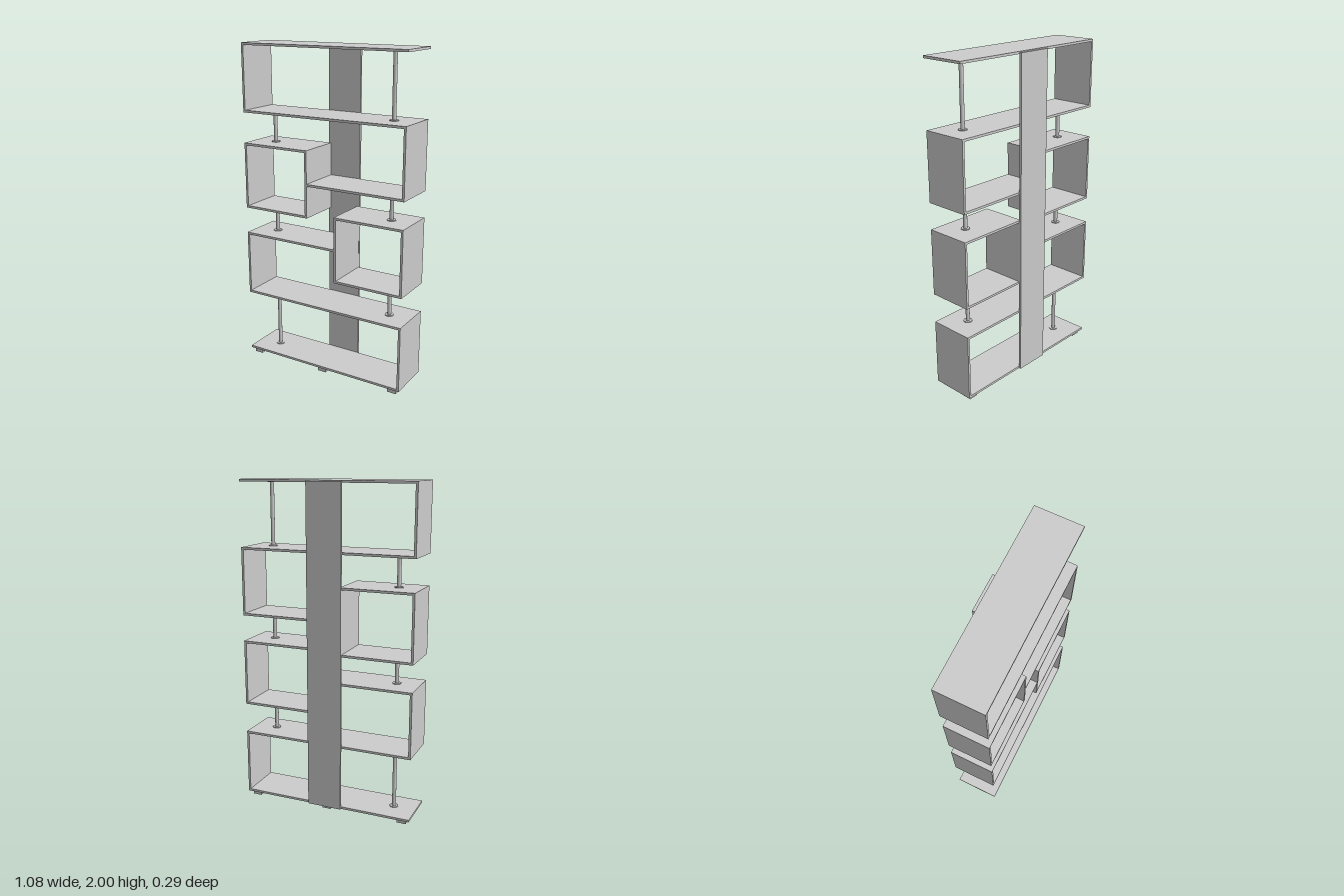
import * as THREE from 'three';

export function createModel() {
  const group = new THREE.Group();
  const mat = new THREE.MeshStandardMaterial({ color: 0xcccccc });
  const T = 0.014;                 // board thickness
  const W = 0.542;                 // half width
  const BACK = -0.131, FRONT = 0.146;
  const MID = (BACK + FRONT) / 2;

  function add(name, geometry, x = 0, y = 0, z = 0) {
    const mesh = new THREE.Mesh(geometry, mat);
    mesh.name = name;
    mesh.position.set(x, y, z);
    group.add(mesh);
    return mesh;
  }

  // Box given by its minimum and maximum corners
  function board(name, x0, x1, y0, y1, z0 = BACK, z1 = FRONT) {
    add(name, new THREE.BoxGeometry(x1 - x0, y1 - y0, z1 - z0),
      (x0 + x1) / 2, (y0 + y1) / 2, (z0 + z1) / 2);
  }

  // Shelves: left end, right end, top height
  const IN = 0.093;
  const shelves = [
    [-W, W, 0.04], [-W, W, 0.438], [-W, IN, 0.832], [IN, W, 0.635], [IN, W, 1.03],
    [-W, -IN, 1.008], [-W, -IN, 1.404], [-IN, W, 1.204], [-W, W, 1.604], [-W, W, 2],
  ];
  for (const [x0, x1, top] of shelves) board('shelf', x0, x1, top - T, top);

  // Upright panels: left edge, bottom, top
  const uprights = [
    [W - T, 0.04, 0.424], [-W, 0.438, 0.818], [W - T, 0.635, 1.016], [IN, 0.635, 1.016],
    [-W, 1.008, 1.39], [-IN - T, 1.008, 1.39], [W - T, 1.204, 1.59], [-W, 1.604, 1.986],
  ];
  for (const [x, y0, y1] of uprights) board('uprightPanel', x, x + T, y0, y1);

  // Back spine joining all shelves
  board('backSpine', -0.108, 0.108, 0.028, 1.994, -0.146, BACK);

  // Round posts with a flange at each end: x, bottom, top
  const posts = [
    [-0.402, 0.04, 0.424], [0.402, 0.438, 0.621], [-0.402, 0.832, 0.994],
    [0.402, 1.03, 1.19], [-0.402, 1.404, 1.59], [0.402, 1.604, 1.986],
  ];
  for (const [x, y0, y1] of posts) {
    const h = y1 - y0, f = 0.005, r = 0.012, R = 0.026;
    const profile = [[0, 0], [R, 0], [R, f], [R, f], [r, f], [r, f], [r, h - f], [r, h - f],
      [R, h - f], [R, h - f], [R, h], [0, h]].map(([a, b]) => new THREE.Vector2(a, b));
    // One lathe per straight segment keeps the edges crisp
    const post = new THREE.Group();
    post.name = 'post';
    for (let i = 0; i < profile.length - 1; i++) {
      if (profile[i].equals(profile[i + 1])) continue;
      const m = new THREE.Mesh(new THREE.LatheGeometry([profile[i], profile[i + 1]], 24), mat);
      m.name = 'postSurface';
      post.add(m);
    }
    post.position.set(x, y0, MID + 0.005);
    group.add(post);
  }

  // Hollow square feet
  const square = (Type, s) => new Type([[-s, -s], [s, -s], [s, s], [-s, s]].map(([a, b]) => new THREE.Vector2(a, b)));
  const ring = square(THREE.Shape, 0.028);
  ring.holes.push(square(THREE.Path, 0.018));
  const footGeo = new THREE.ExtrudeGeometry(ring, { depth: 0.026, bevelEnabled: false });
  footGeo.rotateX(-Math.PI / 2);
  for (const x of [-0.49, 0, 0.49])
    for (const z of [-0.084, 0.108]) add('foot', footGeo, x, 0, z);

  return group;
}
